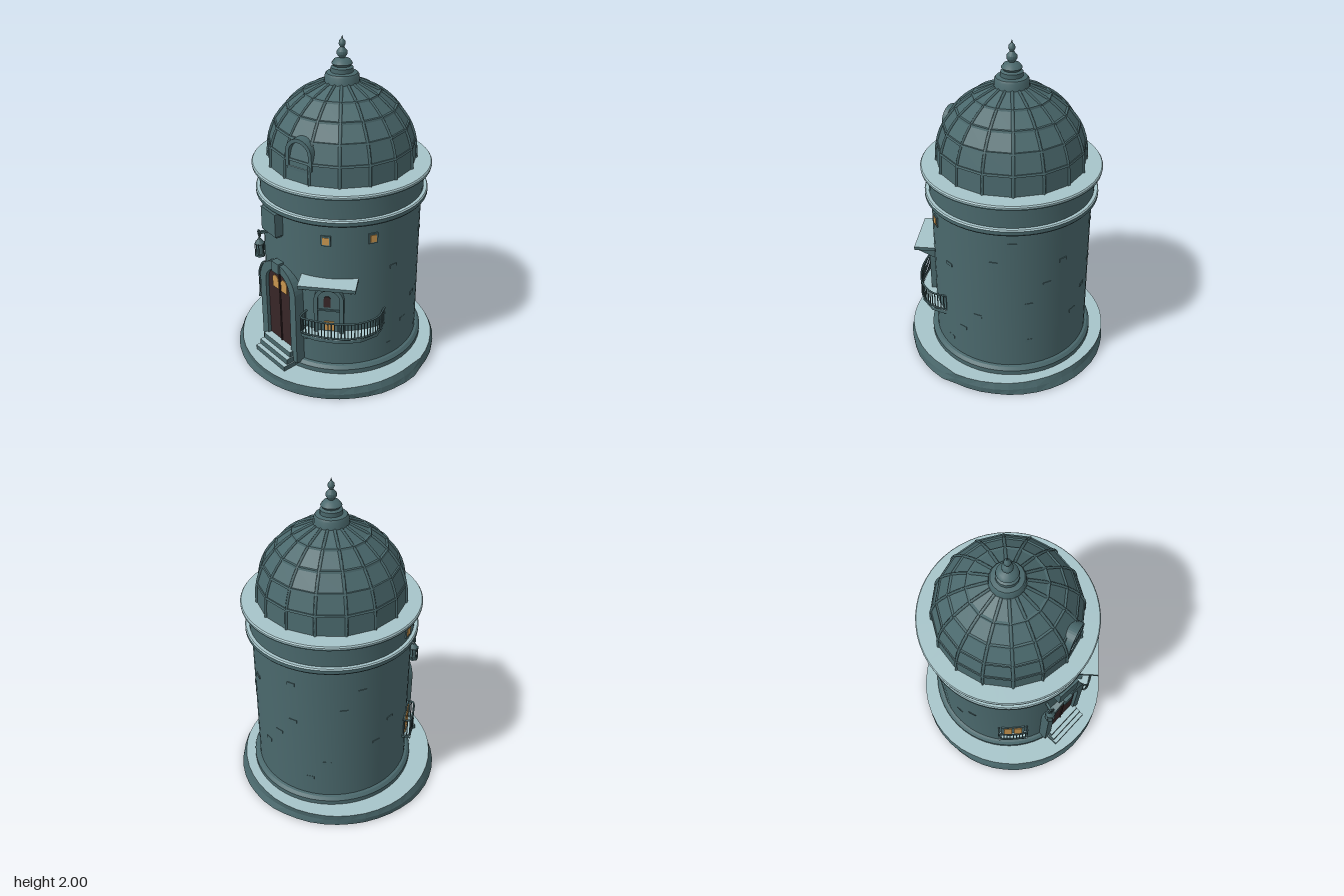
import * as THREE from 'three';
import { toCreasedNormals } from 'three/addons/utils/BufferGeometryUtils.js';

const mat = (name, color) => Object.assign(new THREE.MeshStandardMaterial({ color }), { name });
const stone = mat('tealStone', 0x4a686c);
const pale = mat('paleStone', 0xa6c4c9);
const wood = mat('darkWood', 0x372627);
const amber = mat('amberGlass', 0xc8954f);
const V2 = (x, y) => new THREE.Vector2(x, y);
const rad = THREE.MathUtils.degToRad;

export function createModel() {
  const model = new THREE.Group();
  model.name = 'domedTower';
  const tower = new THREE.Group();
  tower.name = 'tower';
  tower.position.set(0.012, 0, -0.037);
  model.add(tower);

  const add = (parent, name, geo, material, x = 0, y = 0, z = 0) => {
    const m = new THREE.Mesh(geo, material);
    m.name = name;
    m.position.set(x, y, z);
    parent.add(m);
    return m;
  };
  // group turned to an azimuth, measured from the front towards +x
  const facing = (name, deg) => {
    const g = new THREE.Group();
    g.name = name;
    g.rotation.y = rad(deg);
    tower.add(g);
    return g;
  };
  const lathe = (name, pts, material, sides = 56, start = 0, crease = 0.5) =>
    add(tower, name, toCreasedNormals(
      new THREE.LatheGeometry(pts.map(p => V2(...p)), sides, start), crease), material);
  // box given by its width, height range and radial range
  const block = (parent, name, w, y0, y1, z0, z1, material = stone, x = 0) =>
    add(parent, name, new THREE.BoxGeometry(w, y1 - y0, z1 - z0), material, x, (y0 + y1) / 2, (z0 + z1) / 2);
  const paleTop = [stone, stone, pale, stone, stone, stone];
  const arch = (w, h, Base = THREE.Shape) => {
    const s = new Base();
    s.moveTo(-w / 2, 0);
    s.lineTo(w / 2, 0);
    s.lineTo(w / 2, h - w / 2);
    s.absarc(0, h - w / 2, w / 2, 0, Math.PI, false);
    s.closePath();
    return s;
  };
  const extrude = (shape, depth) =>
    new THREE.ExtrudeGeometry(shape, { depth, bevelEnabled: false, curveSegments: 10 });
  const archPanel = (parent, name, w, h, material, x, y, z0, z1) =>
    add(parent, name, extrude(arch(w, h), z1 - z0), material, x, y, z0);
  const archFrame = (parent, name, w, h, t, y, z0, z1) => {
    const s = arch(w + 2 * t, h + t);
    s.holes.push(arch(w, h, THREE.Path));
    return add(parent, name, extrude(s, z1 - z0), stone, 0, y, z0);
  };
  // wall bracket: triangle in the radial plane
  const bracket = (parent, x, y0, y1, z0, z1, t = 0.022) => {
    const s = new THREE.Shape([V2(z0, y0), V2(z1, y1 - 0.015), V2(z1, y1), V2(z0, y1)]);
    const g = extrude(s, t).translate(0, 0, -t / 2).rotateY(-Math.PI / 2);
    add(parent, 'bracket', g, stone, x);
  };
  // railing along a path in plan
  const railing = (parent, plan, y0, y1, bars) => {
    const curve = new THREE.CatmullRomCurve3(plan.map(([x, z]) => new THREE.Vector3(x, 0, z)), false, 'centripetal');
    for (const y of [y0, y1])
      add(parent, 'rail', new THREE.TubeGeometry(curve, 40, 0.006, 5), stone, 0, y, 0);
    for (let i = 0; i <= bars; i++) {
      const p = curve.getPointAt(i / bars);
      add(parent, 'railBar', new THREE.CylinderGeometry(0.0035, 0.0035, y1 - y0, 5), stone, p.x, (y0 + y1) / 2, p.z);
    }
  };

  // rough stone plinth: the rim wobbles by a rule
  const plinth = new THREE.CylinderGeometry(0.62, 0.635, 0.075, 46, 2);
  const pos = plinth.attributes.position;
  for (let i = 0; i < pos.count; i++) {
    const x = pos.getX(i), z = pos.getZ(i), r = Math.hypot(x, z);
    if (r < 0.1) continue;
    const k = Math.round(Math.atan2(z, x) / (Math.PI * 2) * 46 + 46) % 46;
    const level = Math.round(pos.getY(i) * 40);
    const f = 1 + 0.012 * Math.sin(k * 12.9 + level * 2.3);
    pos.setX(i, x * f);
    pos.setZ(i, z * f);
  }
  add(model, 'plinth', toCreasedNormals(plinth, 0.05), [stone, pale, stone], 0, 0.0375, 0);

  // tower body, moulding and cornice
  lathe('wall', [[0.515, 0.07], [0.515, 0.105], [0.498, 0.122], [0.482, 0.125], [0.479, 0.6], [0.478, 1.07],
    [0.505, 1.08], [0.513, 1.09], [0.513, 1.112]], stone);
  lathe('mouldingTop', [[0.513, 1.112], [0.507, 1.12], [0.488, 1.12]], pale);
  lathe('upperBand', [[0.488, 1.12], [0.488, 1.235], [0.505, 1.245], [0.528, 1.255], [0.53, 1.265]], stone);
  lathe('corniceTop', [[0.53, 1.265], [0.53, 1.272], [0.524, 1.28], [0.41, 1.28]], pale);

  // sixteen-sided dome with ribs and bands
  const start = rad(13);
  const dome = [[0.435, 1.275], [0.426, 1.4], [0.388, 1.51], [0.318, 1.605], [0.22, 1.685], [0.1, 1.742]];
  lathe('dome', dome, stone, 16, start, 0.02);
  const ribCurve = new THREE.CatmullRomCurve3(dome.map(([r, y]) => new THREE.Vector3(0, y, r)));
  for (let i = 0; i < 16; i++)
    add(facing('domeRib', 13 + i * 22.5), 'rib', new THREE.TubeGeometry(ribCurve, 12, 0.009, 4), stone);
  for (const [r, y] of dome.slice(1, 5))
    lathe('domeBand', [[r - 0.004, y - 0.008], [r + 0.007, y - 0.005], [r + 0.003, y + 0.007], [r - 0.012, y + 0.008]],
      stone, 16, start, 0.02);

  // finial
  lathe('finial', [[0.105, 1.73], [0.1, 1.745], [0.098, 1.78], [0.09, 1.792], [0.064, 1.797], [0.064, 1.822], [0.048, 1.83],
    [0.06, 1.845], [0.045, 1.866], [0.016, 1.875], [0.03, 1.895], [0.03, 1.912], [0.011, 1.935], [0.02, 1.952],
    [0.017, 1.968], [0.006, 1.98], [0, 2]], stone, 16, 0, 0.7);

  // dome niche
  const niche = facing('domeNiche', 3.5);
  archFrame(niche, 'nicheFrame', 0.13, 0.15, 0.022, 1.36, 0.3, 0.425);
  block(niche, 'nicheSill', 0.15, 1.345, 1.365, 0.36, 0.425, paleTop);

  // door, surround and steps
  const door = facing('doorway', -11.5);
  archFrame(door, 'doorSurround', 0.23, 0.58, 0.055, 0.11, 0.42, 0.507);
  archPanel(door, 'door', 0.235, 0.52, wood, 0, 0.172, 0.44, 0.485);
  for (const s of [-1, 1]) archPanel(door, 'doorPane', 0.056, 0.085, amber, s * 0.04, 0.55, 0.484, 0.49);
  block(door, 'doorMullion', 0.008, 0.18, 0.685, 0.484, 0.492, wood);
  block(door, 'keystone', 0.065, 0.685, 0.755, 0.45, 0.52);
  [0.585, 0.558, 0.53].forEach((z, i) =>
    block(door, 'step', 0.285 - i * 0.012, 0.07 + i * 0.037, 0.107 + i * 0.037, 0.42, z, paleTop));

  // box bay above the door
  const bay = facing('wallBay', -15.7);
  block(bay, 'bayBox', 0.145, 0.94, 1.085, 0.44, 0.525);
  block(bay, 'bayFoot', 0.12, 0.925, 0.94, 0.44, 0.51);

  // hanging lantern
  const lamp = facing('lantern', -29.5);
  block(lamp, 'lanternArm', 0.016, 0.872, 0.888, 0.46, 0.535);
  add(lamp, 'lanternHook', new THREE.TorusGeometry(0.02, 0.005, 5, 12), stone, 0, 0.875, 0.53);
  add(lamp, 'lanternCap', new THREE.ConeGeometry(0.032, 0.045, 6), stone, 0, 0.832, 0.53);
  add(lamp, 'lanternCore', new THREE.CylinderGeometry(0.02, 0.02, 0.075, 6), stone, 0, 0.772, 0.53);
  add(lamp, 'lanternBase', new THREE.CylinderGeometry(0.033, 0.033, 0.012, 6), stone, 0, 0.732, 0.53);
  for (let i = 0; i < 6; i++)
    add(lamp, 'lanternBar', new THREE.CylinderGeometry(0.003, 0.003, 0.08, 4), stone,
      Math.sin(i * Math.PI / 3) * 0.029, 0.775, 0.53 + Math.cos(i * Math.PI / 3) * 0.029);

  // balcony window with canopy
  const bw = facing('balconyWindow', 28.6);
  archFrame(bw, 'windowFrame', 0.13, 0.3, 0.022, 0.36, 0.45, 0.503);
  archPanel(bw, 'windowPanel', 0.13, 0.3, stone, 0, 0.36, 0.45, 0.486);
  archPanel(bw, 'upperPane', 0.04, 0.075, wood, -0.01, 0.54, 0.486, 0.491);
  block(bw, 'lowerPane', 0.06, 0.38, 0.44, 0.486, 0.491, amber);
  block(bw, 'windowBar', 0.13, 0.515, 0.525, 0.486, 0.494);
  block(bw, 'canopy', 0.33, 0.71, 0.732, 0.43, 0.578, paleTop);
  for (const x of [-0.13, 0.13]) bracket(bw, x, 0.63, 0.71, 0.43, 0.56);

  // balcony floor, railing and brackets
  const balcony = facing('balcony', 0);
  const polar = (deg, r) => [r * Math.sin(rad(deg)), r * Math.cos(rad(deg))];
  const rim = [[12, 0.475], [11.5, 0.55], [22, 0.562], [35, 0.57], [48, 0.57], [60, 0.54], [69, 0.48]].map(p => polar(...p));
  const inner = [60, 45, 30, 20].map(a => polar(a, 0.46));
  const floor = new THREE.Shape([...rim, ...inner].map(p => V2(...p)));
  add(balcony, 'balconySlab', extrude(floor, 0.022).rotateX(Math.PI / 2), stone, 0, 0.367, 0);
  add(balcony, 'balconyFloor', extrude(floor, 0.004).rotateX(Math.PI / 2), pale, 0, 0.371, 0);
  railing(balcony, rim, 0.38, 0.485, 34);
  for (const a of [14, 32, 50]) bracket(facing('balconyBracket', a), 0, 0.28, 0.346, 0.46, 0.545);

  // barred side window
  const side = facing('sideWindow', -55);
  block(side, 'sideFrame', 0.15, 0.335, 0.5, 0.45, 0.484);
  for (const x of [-0.033, 0.033]) block(side, 'sidePane', 0.052, 0.35, 0.485, 0.483, 0.489, amber, x);
  block(side, 'sideSill', 0.19, 0.335, 0.348, 0.44, 0.525, paleTop);
  railing(side, [[-0.09, 0.46], [-0.09, 0.51], [-0.05, 0.522], [0.05, 0.522], [0.09, 0.51], [0.09, 0.46]], 0.352, 0.48, 14);

  // small square windows
  for (const [deg, y, r] of [[26.6, 0.978, 0.479], [58.5, 0.983, 0.479], [-71.6, 1.18, 0.488]]) {
    const w = facing('smallWindow', deg);
    block(w, 'smallFrame', 0.055, y - 0.032, y + 0.032, r - 0.03, r + 0.006);
    block(w, 'smallPane', 0.038, y - 0.022, y + 0.022, r + 0.004, r + 0.01, amber);
  }

  // scattered proud bricks
  for (let i = 0; i < 20; i++)
    block(facing('wallBrick', 75 + (i * 61.8) % 210), 'brick', 0.05, 0.2 + (i * 0.37) % 0.82, 0.22 + (i * 0.37) % 0.82, 0.46, 0.482);

  return model;
}
